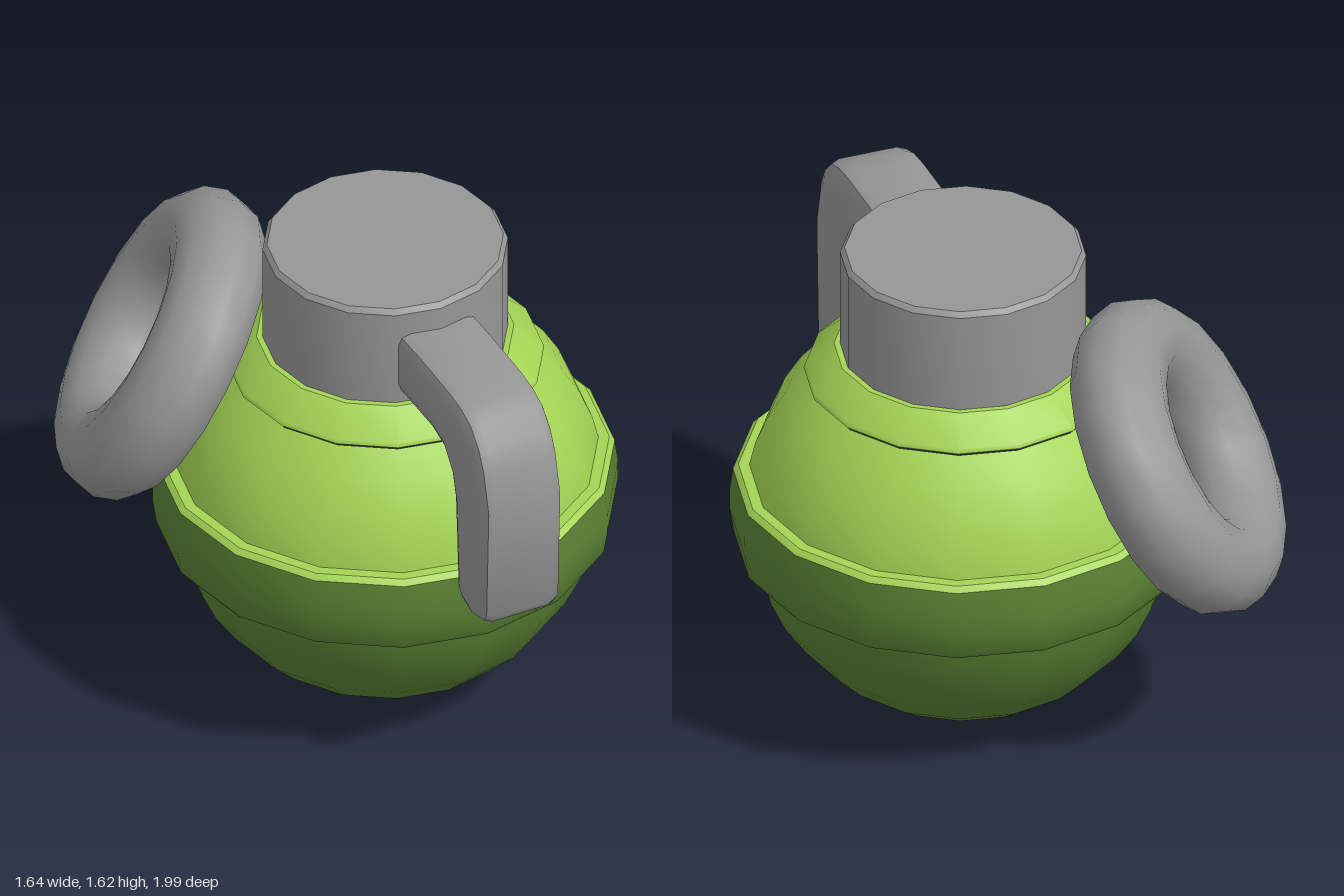
import * as THREE from 'three';
import { toCreasedNormals } from 'three/addons/utils/BufferGeometryUtils.js';

const SIDES = 16;
const AXIS = { x: 0.092, z: 0.032 };

// Material palette
const lightGreen = new THREE.MeshStandardMaterial({ color: 0xa4d455 });
const darkGreen = new THREE.MeshStandardMaterial({ color: 0x5a8234 });
const grey = new THREE.MeshStandardMaterial({ color: 0x969696 });

function part(name, geometry, material) {
  const mesh = new THREE.Mesh(geometry, material);
  mesh.name = name;
  return mesh;
}

// Turned part about the body axis; profile is [radius, y] from bottom to top
function turned(name, profile, material) {
  const points = profile.map(([r, y]) => new THREE.Vector2(r, y));
  const geometry = toCreasedNormals(new THREE.LatheGeometry(points, SIDES), 0.6);
  const mesh = part(name, geometry, material);
  mesh.position.set(AXIS.x, 0, AXIS.z);
  return mesh;
}

// Profile of a spherical zone between two latitudes
function arc(from, to, steps) {
  const radius = 0.685;
  return Array.from({ length: steps + 1 }, (_, i) => {
    const a = from + ((to - from) * i) / steps;
    return [Math.max(0, radius * Math.cos(a)), radius + radius * Math.sin(a)];
  });
}

// Bent lever: side outline extruded across its width with a soft bevel
function createLever() {
  const outline = [
    [0.25, 1.525], [0.53, 1.53], [0.72, 1.525], [0.8, 1.515], [0.87, 1.49], [0.93, 1.43],
    [0.965, 1.36], [1.0, 1.22], [0.985, 0.81], [0.96, 0.775], [0.87, 0.752],
    [0.8, 0.77], [0.77, 0.81], [0.752, 1.14], [0.73, 1.22], [0.68, 1.28],
    [0.6, 1.3], [0.25, 1.3],
  ];
  const shape = new THREE.Shape(outline.map(([z, y]) => new THREE.Vector2(z, y)));
  const width = 0.275;
  const bevel = 0.04;
  const geometry = new THREE.ExtrudeGeometry(shape, {
    depth: width - 2 * bevel,
    bevelEnabled: true,
    bevelThickness: bevel,
    bevelSize: bevel,
    bevelOffset: -bevel,
    bevelSegments: 2,
  });
  geometry.translate(0, 0, -(width / 2 - bevel));
  geometry.rotateY(-Math.PI / 2);
  geometry.translate(AXIS.x, 0, 0);
  return part('lever', toCreasedNormals(geometry, 0.7), grey);
}

// Pull ring leaning against the shoulder
function createRing() {
  const ring = part('pullRing', new THREE.TorusGeometry(0.375, 0.152, 12, 18), grey);
  const facing = new THREE.Vector3(-0.77, 0.49, -0.41).normalize();
  ring.quaternion.setFromUnitVectors(new THREE.Vector3(0, 0, 1), facing);
  ring.position.set(-0.428, 1.05, -0.497);
  return ring;
}

export function createModel() {
  const model = new THREE.Group();
  model.name = 'grenade';

  // Round body, dark below the belt and light above
  model.add(turned('lowerBody', arc(-Math.PI / 2, 0, 9), darkGreen));
  model.add(turned('upperBody', arc(0, 0.777, 5), lightGreen));

  // Collar with a small lip under the cap
  model.add(turned('shoulder', [
    [0.47, 1.17], [0.492, 1.17], [0.5, 1.178], [0.496, 1.19], [0.405, 1.27], [0.3, 1.27],
  ], lightGreen));

  // Slightly bulging belt with a light upper rim
  model.add(turned('belt', [
    [0.64, 0.553], [0.708, 0.553], [0.72, 0.57], [0.732, 0.65],
    [0.733, 0.72], [0.722, 0.8],
  ], darkGreen));
  model.add(turned('beltRim', [[0.722, 0.8], [0.705, 0.817], [0.64, 0.817]], lightGreen));

  // Cap with a narrow chamfer
  model.add(turned('cap', [
    [0, 1.27], [0.386, 1.27], [0.386, 1.607], [0.372, 1.624], [0, 1.624],
  ], grey));

  model.add(createLever(), createRing());
  return model;
}
